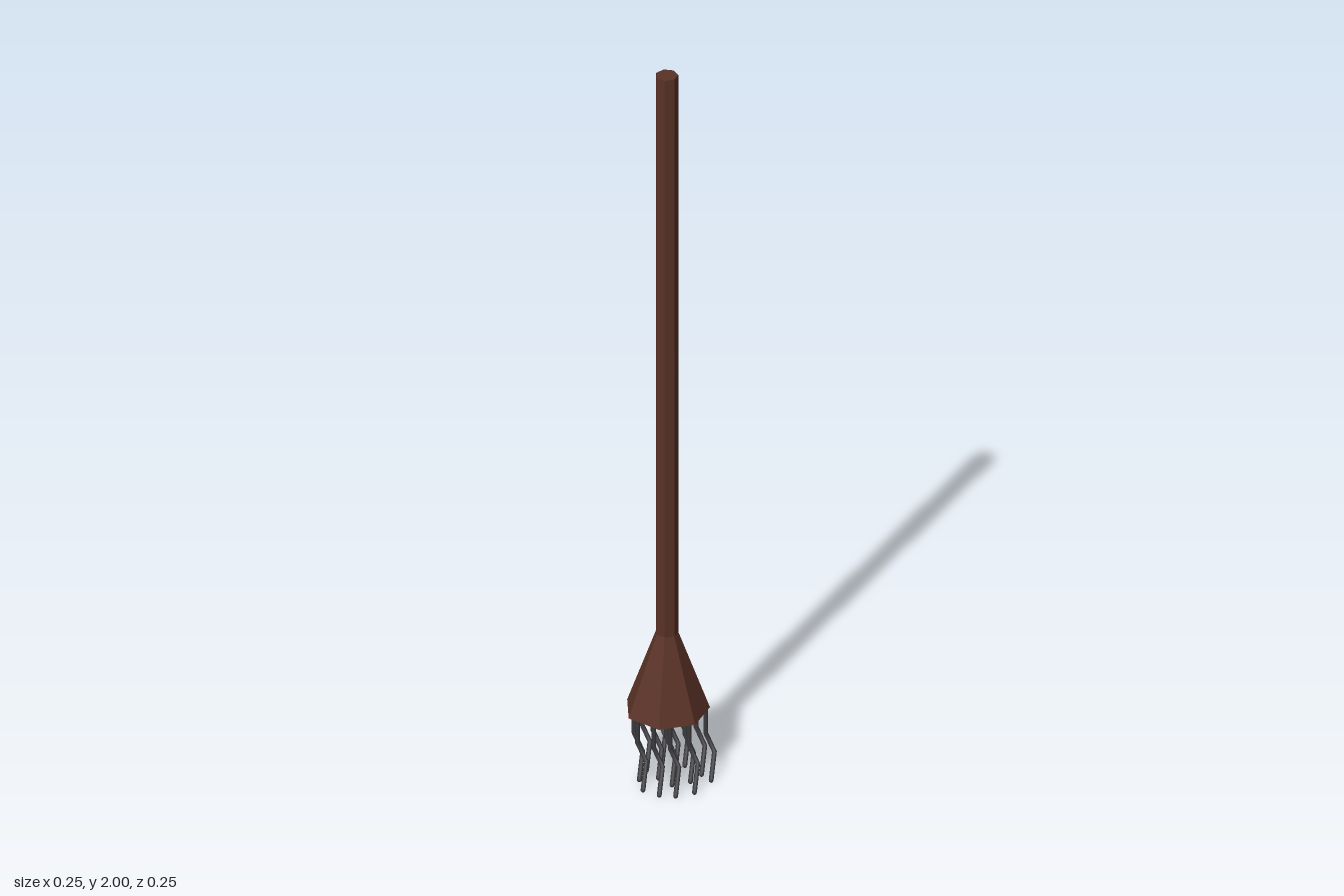
import * as THREE from 'three';

// Wire with straight runs and sharp bends, one run per equal step of t
class BentWire extends THREE.Curve {
  constructor(points) {
    super();
    this.points = points;
  }
  getPoint(t, target = new THREE.Vector3()) {
    const runs = this.points.length - 1;
    const i = Math.min(Math.floor(t * runs), runs - 1);
    return target.lerpVectors(this.points[i], this.points[i + 1], t * runs - i);
  }
  getUtoTmapping(u) {
    return u;
  }
}

export function createModel() {
  const model = new THREE.Group();
  const wood = new THREE.MeshStandardMaterial({ color: 0x5a3226, flatShading: true });
  const metal = new THREE.MeshStandardMaterial({ color: 0x3a3a3e });
  const axisX = 0.015, axisZ = -0.019;

  // Seven-sided wooden parts with a corner pointing to +x
  function woodPart(name, topRadius, bottomRadius, y0, y1) {
    const geometry = new THREE.CylinderGeometry(topRadius, bottomRadius, y1 - y0, 7, 1, false, Math.PI / 2);
    const mesh = new THREE.Mesh(geometry, wood);
    mesh.name = name;
    mesh.position.set(axisX, (y0 + y1) / 2, axisZ);
    model.add(mesh);
  }
  woodPart('handle', 0.0285, 0.0285, 0.39, 2);
  woodPart('head', 0.0285, 0.107, 0.17, 0.39);

  // Bristle: drops straight, bends forward, then sweeps sideways to the tip
  const wire = new BentWire([
    new THREE.Vector3(0, 0.18, 0),
    new THREE.Vector3(0, 0.1, 0),
    new THREE.Vector3(0, 0.055, 0.027),
    new THREE.Vector3(-0.052, 0.007, 0.055),
  ]);
  const radius = 0.006;
  const bristleGeometry = new THREE.TubeGeometry(wire, 3, radius, 8);
  const tipGeometry = new THREE.SphereGeometry(radius, 8, 6);

  // Bristle roots as x, z under the head
  const roots = [
    [-0.068, -0.048], [-0.064, -0.001], [-0.043, 0.034], [-0.001, 0.061], [0.07, 0.06],
    [-0.033, -0.085], [-0.005, -0.005], [0.079, 0.024], [0.035, 0.022],
    [0.048, -0.035], [0.089, -0.035], [0.062, -0.085], [0.015, -0.098], [0.002, -0.052],
  ];
  const bristles = new THREE.Group();
  bristles.name = 'bristles';
  for (const [x, z] of roots) {
    const bristle = new THREE.Group();
    bristle.name = 'bristle';
    bristle.position.set(x, 0, z);
    const tip = new THREE.Mesh(tipGeometry, metal);
    tip.name = 'bristleTip';
    tip.position.copy(wire.points[3]);
    const shaft = new THREE.Mesh(bristleGeometry, metal);
    shaft.name = 'bristleWire';
    bristle.add(shaft, tip);
    bristles.add(bristle);
  }
  model.add(bristles);
  return model;
}
